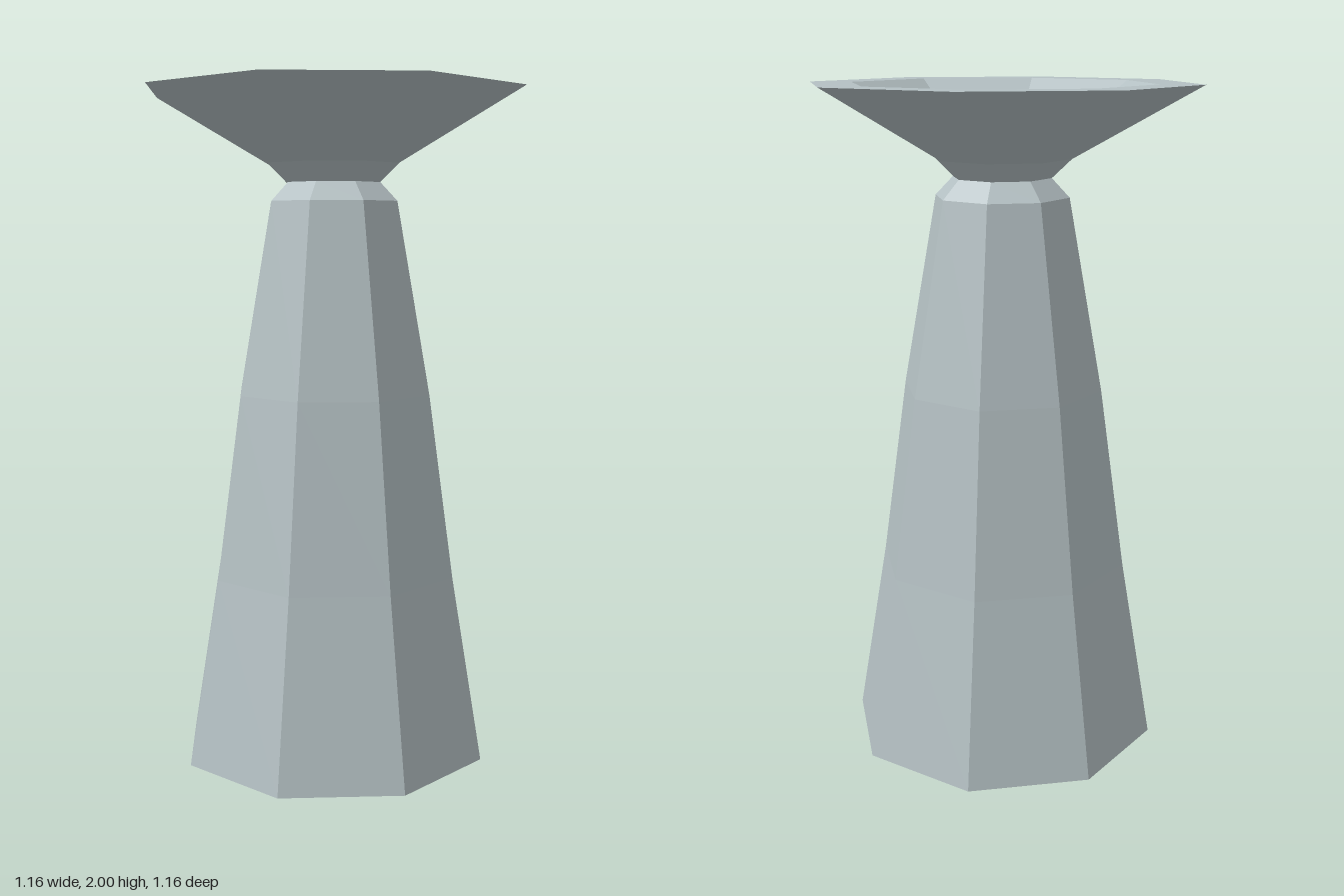
import * as THREE from 'three';

const SIDES = 8;

// Eight-sided turned part from [radius, height] pairs, listed bottom to top
function turned(name, profile, material) {
  const points = profile.map(([r, y]) => new THREE.Vector2(r, y));
  const mesh = new THREE.Mesh(new THREE.LatheGeometry(points, SIDES), material);
  mesh.name = name;
  return mesh;
}

export function createModel() {
  const stone = new THREE.MeshStandardMaterial({ color: 0xb4c0c3, flatShading: true });
  stone.name = 'pale grey stone';

  const model = new THREE.Group();
  model.name = 'pedestalBasin';

  // Tapering pillar with a chamfered shoulder
  model.add(turned('pillar', [
    [0, 0], [0.475, 0], [0.38, 0.56], [0.303, 1.11], [0.2, 1.68], [0.147, 1.735],
  ], stone));

  // Flared bowl with a flat rim and a shallow recess
  model.add(turned('bowl', [
    [0.147, 1.735], [0.205, 1.79], [0.578, 2], [0.45, 2], [0.33, 1.915], [0, 1.915],
  ], stone));

  return model;
}
